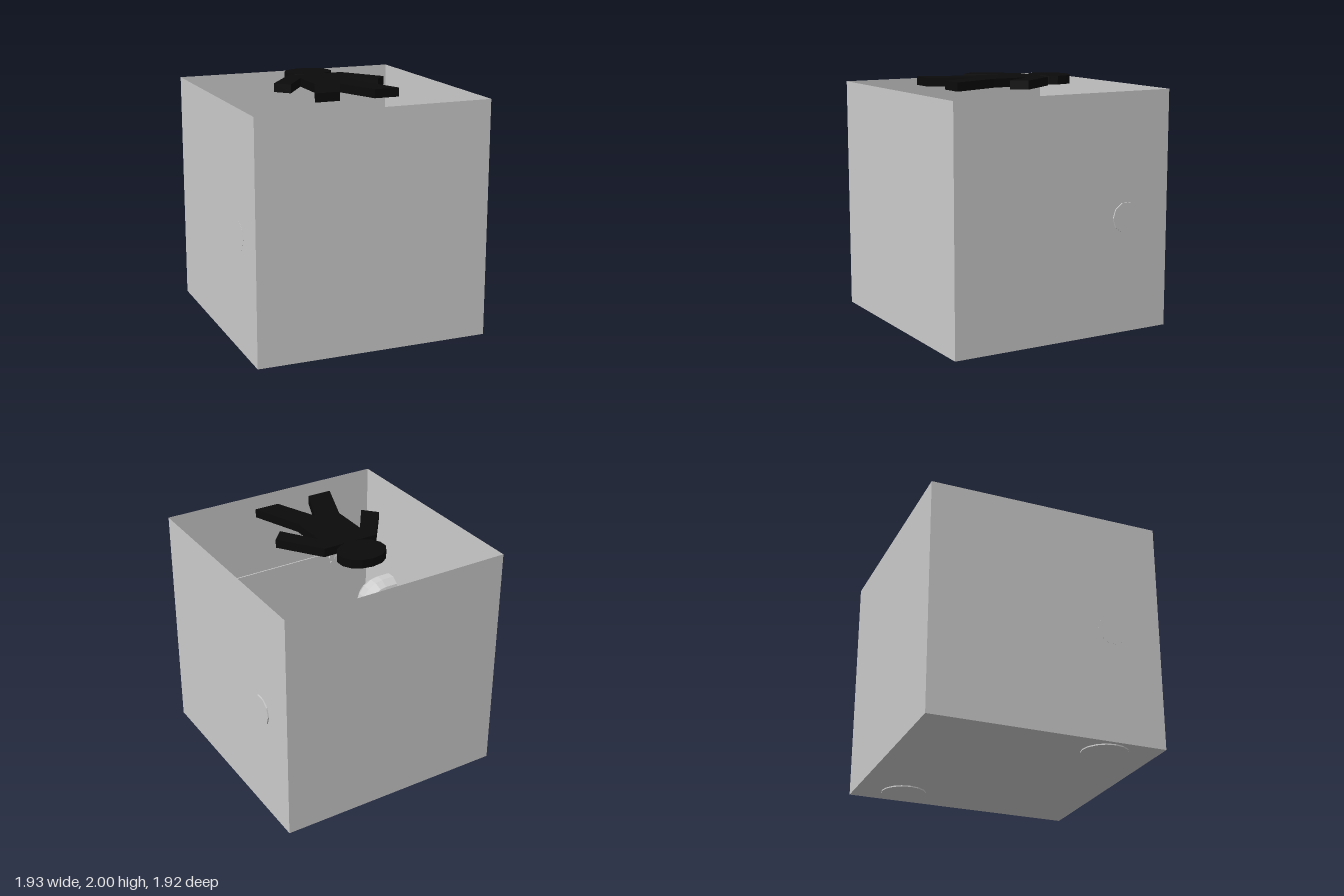
import * as THREE from 'three';

const grey = new THREE.MeshStandardMaterial({ color: 0xcccccc, flatShading: true, side: THREE.DoubleSide });
const black = new THREE.MeshStandardMaterial({ color: 0x0a0a0a, flatShading: true, side: THREE.DoubleSide });

function add(parent, name, geometry, x = 0, y = 0, z = 0, material = grey) {
  const mesh = new THREE.Mesh(geometry, material);
  mesh.name = name;
  mesh.position.set(x, y, z);
  parent.add(mesh);
  return mesh;
}

function group(parent, name, x, y, z, turn = 0) {
  const g = new THREE.Group();
  g.name = name;
  g.position.set(x, y, z);
  g.rotation.y = turn;
  parent.add(g);
  return g;
}

// Open-topped room: four thin walls and a floor
function buildRoom(root) {
  const room = group(root, 'room', -0.005, 0, 0);
  const size = 1.92, half = size / 2;
  for (let i = 0; i < 4; i++) {
    const a = i * Math.PI / 2;
    const wall = add(room, 'wall', new THREE.PlaneGeometry(size, size), half * Math.sin(a), 0.01 + half, half * Math.cos(a));
    wall.rotation.y = a;
  }
  add(room, 'floor', new THREE.PlaneGeometry(size, size), 0, 0.01, 0).rotation.x = -Math.PI / 2;
}

// Flat black figure lying level with the rim
function buildFigure(root) {
  const figure = group(root, 'figure', -0.005, 1.93, 0);
  const right = [[0, -0.29], [0.235, -0.29], [0.475, 0.04], [0.375, 0.15], [0.192, -0.12], [0.192, 0.19], [0.35, 0.6], [0.145, 0.6], [0, 0.25]];
  const left = right.slice(1, -1).reverse().map(([x, z]) => [-x, z]);
  const outline = new THREE.Shape([...right, ...left].map(([x, z]) => new THREE.Vector2(x, -z)));
  const body = new THREE.ExtrudeGeometry(outline, { depth: 0.07, bevelEnabled: false });
  body.rotateX(-Math.PI / 2);
  add(figure, 'figureBody', body, 0, 0, 0, black);
  const head = new THREE.CylinderGeometry(0.2, 0.2, 0.07, 14);
  head.scale(1, 1, 0.82);
  add(figure, 'figureHead', head, 0, 0.035, -0.447, black);
}

// Thin wall panel with rosettes on two opposite corners
function buildPanel(root, x, y, z, turn, scale) {
  const panel = group(root, 'wallPanel', x, y, z, turn);
  panel.scale.setScalar(scale);
  add(panel, 'panelSheet', new THREE.BoxGeometry(1.32, 0.78, 0.01));
  for (const s of [-1, 1]) {
    const rosette = group(panel, 'rosette', s * 0.605, -s * 0.33, 0);
    for (let i = 0; i < 5; i++) {
      const a = i * Math.PI * 0.4 + Math.PI / 2;
      const petal = new THREE.CylinderGeometry(0.035, 0.035, 0.036, 8);
      petal.rotateX(Math.PI / 2);
      add(rosette, 'petal', petal, 0.046 * Math.cos(a), 0.046 * Math.sin(a), 0);
    }
    const centre = new THREE.CylinderGeometry(0.03, 0.03, 0.045, 8);
    centre.rotateX(Math.PI / 2);
    add(rosette, 'rosetteCentre', centre);
  }
}

// Round tank whose neck bends over and leaves through the wall
function buildTank(root, x, z, turn, reach) {
  const tank = group(root, 'tank', x, 0, z, turn);
  const profile = [[0, 0], [0.187, 0], [0.19, 0.5], [0.17, 0.6], [0.12, 0.68]].map(([r, y]) => new THREE.Vector2(r, y));
  add(tank, 'tankBody', new THREE.LatheGeometry(profile, 16));
  const path = new THREE.CurvePath();
  const v = (a, b) => new THREE.Vector3(a, b, 0);
  path.add(new THREE.LineCurve3(v(0, 0.66), v(0, 0.8)));
  path.add(new THREE.QuadraticBezierCurve3(v(0, 0.8), v(0, 0.94), v(0.12, 0.94)));
  path.add(new THREE.LineCurve3(v(0.12, 0.94), v(reach, 0.94)));
  add(tank, 'outletPipe', new THREE.TubeGeometry(path, 12, 0.123, 10, false));
  add(tank, 'pipeEnd', new THREE.CircleGeometry(0.123, 10), reach, 0.94, 0).rotation.y = Math.PI / 2;
}

// Bench block carrying a few small objects
function buildBench(root, x, z, turn) {
  const bench = group(root, 'bench', x, 0, z, turn);
  const top = 0.5;
  add(bench, 'benchBlock', new THREE.BoxGeometry(0.35, top - 0.01, 0.69), 0, 0.01 + (top - 0.01) / 2, 0);
  // Knobbed jar and book
  add(bench, 'jar', new THREE.CylinderGeometry(0.02, 0.034, 0.05, 8), -0.09, top + 0.025, -0.245);
  add(bench, 'jarKnob', new THREE.SphereGeometry(0.02, 8, 6), -0.09, top + 0.06, -0.245);
  add(bench, 'book', new THREE.BoxGeometry(0.1, 0.03, 0.08), 0.095, top + 0.015, -0.17).rotation.y = -0.72;
  // Rod with a ball at each end
  const rod = new THREE.CylinderGeometry(0.008, 0.008, 0.21, 8);
  rod.rotateX(Math.PI / 2);
  add(bench, 'rod', rod, 0, top + 0.022, -0.007);
  for (const end of [-0.112, 0.098]) add(bench, 'rodBall', new THREE.SphereGeometry(0.023, 8, 6), 0, top + 0.022, end);
  // Discs and bead
  add(bench, 'largeDisc', new THREE.CylinderGeometry(0.04, 0.04, 0.04, 8), -0.115, top + 0.02, 0.267);
  add(bench, 'smallDisc', new THREE.CylinderGeometry(0.017, 0.017, 0.04, 8), -0.05, top + 0.02, 0.207);
  add(bench, 'bead', new THREE.SphereGeometry(0.014, 8, 6), 0.115, top + 0.014, 0.262);
}

export function createModel() {
  const root = new THREE.Group();
  root.name = 'roomWithFigure';
  buildRoom(root);
  buildFigure(root);
  buildPanel(root, -0.005, 0.84, -0.925, 0, 1);
  buildPanel(root, -0.005, 0.84, 0.915, 0, 1);
  buildPanel(root, -0.938, 0.76, -0.27, Math.PI / 2, 0.5);
  buildPanel(root, 0.927, 0.76, 0.28, -Math.PI / 2, 0.5);
  buildTank(root, 0.735, -0.56, 0, 0.23);
  buildTank(root, -0.745, 0.55, Math.PI, 0.221);
  buildBench(root, -0.735, -0.267, 0);
  buildBench(root, 0.727, 0.28, Math.PI);
  return root;
}
